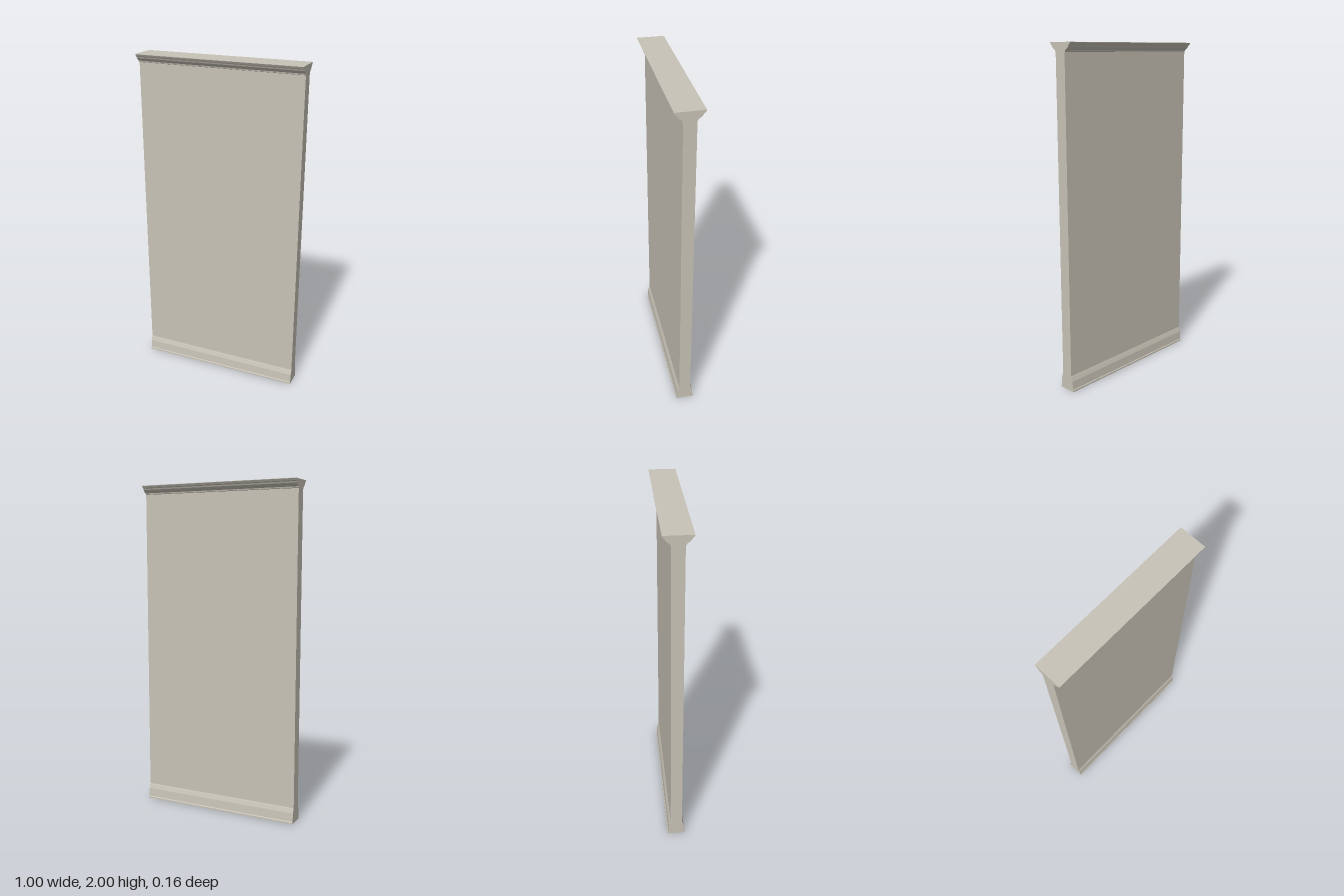
import * as THREE from 'three';

const WIDTH = 1, HEIGHT = 2, HALF = 0.035;

// Extrudes a (z, y) profile across the full width of the wall
function molding(points) {
  const shape = new THREE.Shape(points.map(([z, y]) => new THREE.Vector2(z, y)));
  const geo = new THREE.ExtrudeGeometry(shape, { depth: WIDTH, bevelEnabled: false });
  geo.rotateY(-Math.PI / 2);
  geo.translate(WIDTH / 2, 0, 0);
  return geo;
}

export function createModel() {
  const model = new THREE.Group();
  model.name = 'wallSection';
  const plaster = new THREE.MeshStandardMaterial({ color: 0xc8c3b7 });
  plaster.name = 'warm grey plaster';

  // Plain wall slab
  const panel = new THREE.Mesh(new THREE.BoxGeometry(WIDTH, HEIGHT, HALF * 2), plaster);
  panel.name = 'wallPanel';
  panel.position.y = HEIGHT / 2;
  model.add(panel);

  // Skirting board with a small foot and a sloped upper edge
  const skirting = molding([
    [HALF, 0], [0.054, 0], [0.054, 0.009], [0.05, 0.014], [0.046, 0.064],
    [0.042, 0.076], [0.038, 0.088], [HALF, 0.095],
  ]);

  // Cornice flaring out to a sharp top edge
  const cornice = molding([
    [HALF, 1.948], [0.039, 1.95], [0.041, 1.957], [0.048, 1.961], [0.056, 1.967],
    [0.063, 1.975], [0.067, 1.983], [0.073, 1.987], [0.08, 1.998], [0.08, 2], [HALF, 2],
  ]);

  // Same trim on the front and the back
  for (const [side, turn] of [['front', 0], ['back', Math.PI]]) {
    for (const [part, geo] of [['Skirting', skirting], ['Cornice', cornice]]) {
      const mesh = new THREE.Mesh(geo, plaster);
      mesh.name = side + part;
      mesh.rotation.y = turn;
      model.add(mesh);
    }
  }
  return model;
}
